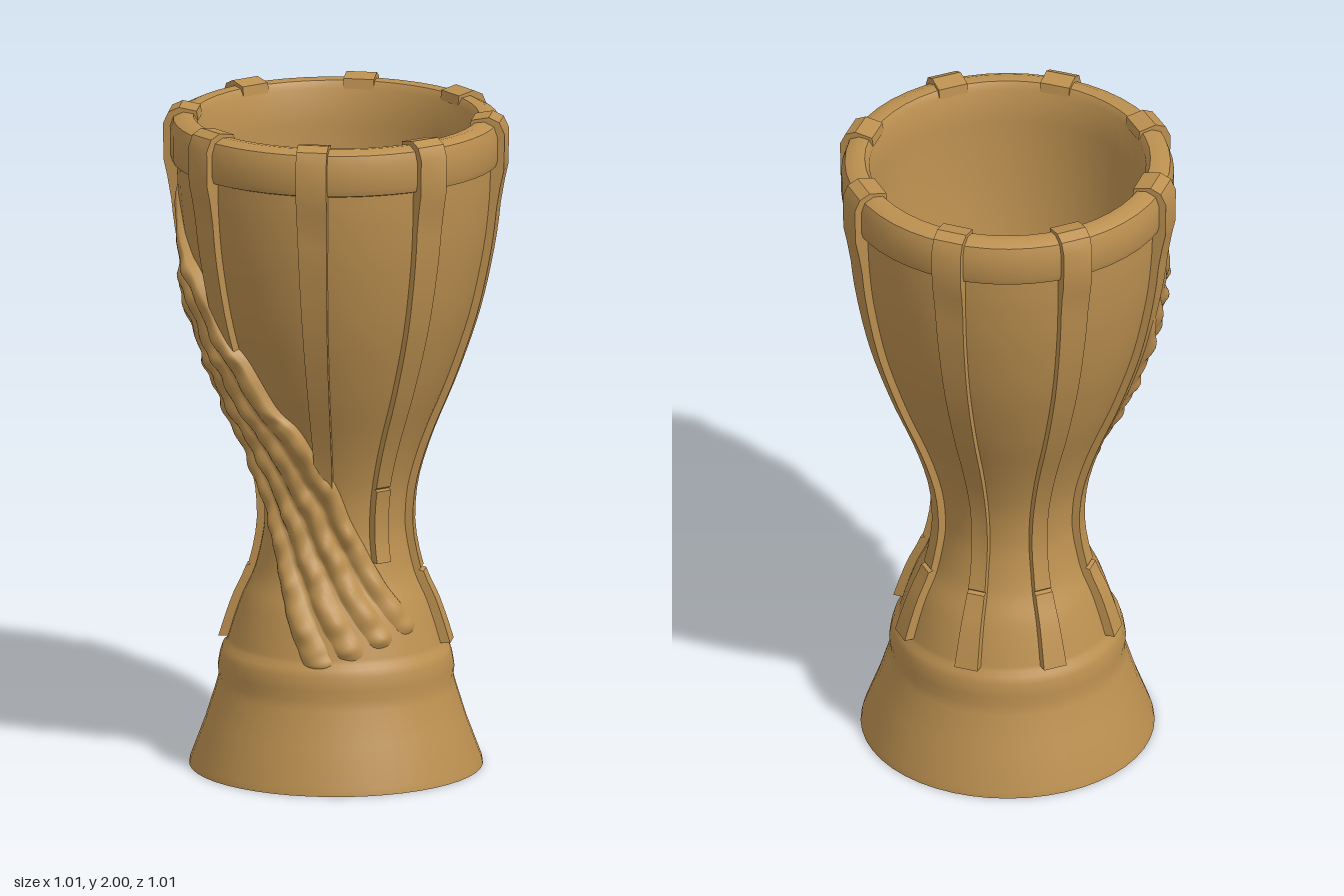
import * as THREE from 'three';
import { toCreasedNormals } from 'three/addons/utils/BufferGeometryUtils.js';

const V = (x, y) => new THREE.Vector2(x, y);
const rad = THREE.MathUtils.degToRad;

// Outer body curve as (radius, height), from the base ledge to the rim band
const bodyCurve = new THREE.SplineCurve([
  V(0.325, 0.375), V(0.302, 0.45), V(0.277, 0.52), V(0.241, 0.6), V(0.218, 0.7), V(0.213, 0.77),
  V(0.221, 0.86), V(0.244, 0.95), V(0.28, 1.05), V(0.342, 1.2), V(0.409, 1.4), V(0.452, 1.6),
  V(0.47, 1.75), V(0.474, 1.845),
]).getPoints(52);

// Body radius at a height
function bodyRadius(y) {
  for (let i = 1; i < bodyCurve.length; i++) {
    const a = bodyCurve[i - 1], b = bodyCurve[i];
    if (y <= b.y) return a.x + (b.x - a.x) * Math.max(-0.5, (y - a.y) / (b.y - a.y));
  }
  return bodyCurve[bodyCurve.length - 1].x;
}

// Surface from a grid of points: i runs down, j runs to the right seen from outside
function gridGeometry(rows, cols, point) {
  const pos = [], index = [];
  for (let i = 0; i <= rows; i++)
    for (let j = 0; j <= cols; j++) pos.push(...point(i, j));
  for (let i = 0; i < rows; i++)
    for (let j = 0; j < cols; j++) {
      const a = i * (cols + 1) + j, b = a + cols + 1;
      index.push(a, b, b + 1, a, b + 1, a + 1);
    }
  const g = new THREE.BufferGeometry();
  g.setAttribute('position', new THREE.Float32BufferAttribute(pos, 3));
  g.setIndex(index);
  g.computeVertexNormals();
  return g;
}

// Strap width narrows to the waist and widens again at the foot
function strapWidth(y) {
  if (y > 1.8) return 0.092;
  if (y > 0.9) return 0.05 + 0.042 * (y - 0.9) / 0.9;
  return y > 0.65 ? 0.05 : 0.05 + 0.022 * (0.65 - y) / 0.25;
}

// Raised strap hooked over the rim and running down to yEnd, with a joint where it thickens
function strapGeometry(angle, yEnd, yJoint) {
  // each station: outer radius, outer height, inner radius, inner height
  const st = [
    [0.408, 1.96, 0.408, 1.96], [0.412, 1.99, 0.415, 1.96], [0.465, 2, 0.45, 1.95],
    [0.497, 1.985, 0.46, 1.94], [0.513, 1.95, 0.46, 1.93], [0.511, 1.84, 0.45, 1.84],
    [0.5, 1.79, 0.45, 1.79],
  ];
  const add = (y, h) => st.push([bodyRadius(y) + h, y, bodyRadius(y) - 0.015, y]);
  for (let k = 0; k <= 24; k++) add(1.72 + (yJoint + 0.01 - 1.72) * k / 24, 0.021);
  // thicker foot below the joint
  if (yEnd < yJoint) {
    add(yJoint + 0.004, 0.013);
    for (let k = 0; k <= 8; k++) add(yJoint + (yEnd - yJoint) * k / 8, 0.026);
  }
  const last = st[st.length - 1];
  st.push([last[2], last[3], last[2], last[3]]);
  const s = Math.sin(angle), c = Math.cos(angle);
  const g = gridGeometry(st.length - 1, 3, (i, j) => {
    const top = j === 1 || j === 2;
    const r = top ? st[i][0] : st[i][2], y = top ? st[i][1] : st[i][3];
    const w = strapWidth(y) * (j < 2 ? -0.5 : 0.5);
    return [r * s + w * c, y, r * c - w * s];
  });
  return toCreasedNormals(g, 0.6);
}

// Ragged twisted strands sweeping diagonally around the front
function sweepGeometry() {
  const upper = new THREE.SplineCurve([
    V(-66, 1.8), V(-36, 1.5), V(-11, 1.2), V(17, 0.97), V(48, 0.72), V(84, 0.45)]);
  const lower = new THREE.SplineCurve([
    V(-73, 1.62), V(-69, 1.3), V(-61, 1.05), V(-36, 0.75), V(-10, 0.53), V(10, 0.335)]);
  const rows = 120, strands = 4, cols = strands * 8;
  return gridGeometry(rows, cols, (i, j) => {
    const t = i / rows, v = j / cols;
    const a = lower.getPoint(t), b = upper.getPoint(t);
    const k = Math.min(strands - 1, Math.floor(v * strands));
    const ridge = Math.sin(Math.PI * (v * strands - k));
    const bump = 0.75 + 0.25 * Math.sin(t * 85 + k * 2.1) * Math.cos(t * 31 + v * 9);
    const taper = Math.min(1, t * 7, (1 - t) * 22);
    // valleys sink below the body near the tips, so the strands part
    const valley = -0.01 + 0.028 * Math.min(1, (1 - t) * 1.6) * (j % cols ? 1 : 0);
    const h = -0.012 + (0.012 + valley + 0.032 * ridge * bump) * taper;
    const ragged = 0.025 * Math.sin(t * 40) * v * (1 - t);
    const y = a.y + (b.y - a.y) * v + ragged;
    const ang = rad(a.x + (b.x - a.x) * v);
    const r = bodyRadius(y) + h;
    return [r * Math.sin(ang), y, r * Math.cos(ang)];
  });
}

export function createModel() {
  const group = new THREE.Group();
  const bronze = new THREE.MeshStandardMaterial({ color: 0xbc9050 });
  const add = (name, geometry) => {
    const m = new THREE.Mesh(geometry, bronze);
    m.name = name;
    group.add(m);
  };

  // Cup: flared base, waisted body, rim band and hollow inside in one profile
  const profile = [
    V(0, 0), V(0.437, 0), V(0.433, 0.02), V(0.388, 0.14), V(0.357, 0.24), V(0.349, 0.27),
    V(0.352, 0.3), V(0.345, 0.34), V(0.338, 0.362),
    ...bodyCurve,
    V(0.489, 1.85), V(0.495, 1.87), V(0.495, 1.94), V(0.484, 1.972), V(0.455, 1.986), V(0.425, 1.982),
    V(0.411, 1.96), V(0.408, 1.85), V(0.395, 1.65), V(0.368, 1.45), V(0.325, 1.27), V(0.258, 1.08),
    V(0.192, 0.92), V(0, 0.92),
  ];
  add('cup', toCreasedNormals(new THREE.LatheGeometry(profile, 48), 0.7));

  // Eight straps: angle from the front, lower end and joint height
  const straps = [[17, 0.88, 0.88], [60, 0.66, 0.88], [107, 0.385, 0.6], [150, 0.385, 0.6],
    [196, 0.385, 0.6], [241, 0.385, 0.6], [288, 0.385, 0.6], [332, 1.3, 1.3]];
  for (const [deg, yEnd, yJoint] of straps) add('strap', strapGeometry(rad(deg), yEnd, yJoint));

  add('diagonalSweep', sweepGeometry());
  return group;
}
